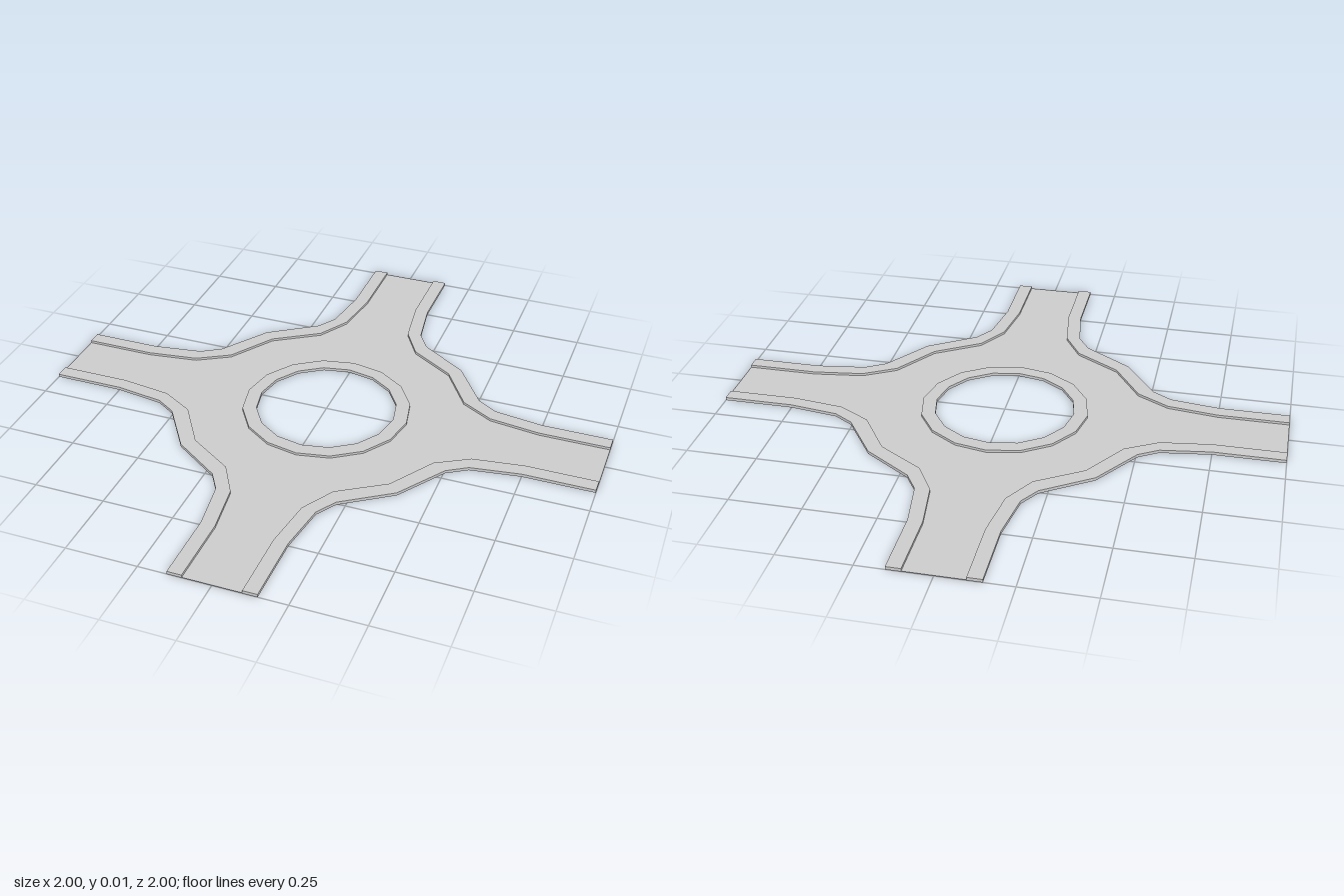
import * as THREE from 'three';

const ROAD_TOP = 0.002, KERB_TOP = 0.011;
const material = new THREE.MeshStandardMaterial({ color: 0xcccccc, flatShading: true });

// Half of one corner, from the arm end to the diagonal
const OUTER = [[1, 0.15], [0.75, 0.15], [0.575, 0.176], [0.505, 0.22], [0.39, 0.39]];
const INNER = [[1, 0.1], [0.75, 0.1], [0.57, 0.125], [0.455, 0.192], [0.352, 0.352]];

// Complete a corner by mirroring across its diagonal
function corner(half) {
  const mirrored = half.slice(0, -1).reverse().map(([x, y]) => [y, x]);
  return [...half, ...mirrored].map(([x, y]) => new THREE.Vector2(x, y));
}

function turn(points, quarter) {
  const origin = new THREE.Vector2();
  return points.map((p) => p.clone().rotateAround(origin, quarter * Math.PI / 2));
}

function circle(radius, sides = 16) {
  return Array.from({ length: sides }, (_, i) => {
    const a = i / sides * Math.PI * 2;
    return new THREE.Vector2(radius * Math.cos(a), radius * Math.sin(a));
  });
}

// Flat plate standing on the ground
function plate(name, outline, hole, height) {
  const shape = new THREE.Shape(outline);
  if (hole) shape.holes.push(new THREE.Path(hole));
  const geometry = new THREE.ExtrudeGeometry(shape, { depth: height, bevelEnabled: false });
  geometry.rotateX(-Math.PI / 2);
  const mesh = new THREE.Mesh(geometry, material);
  mesh.name = name;
  return mesh;
}

export function createModel() {
  const group = new THREE.Group();
  group.name = 'roundabout';
  const outer = corner(OUTER), inner = corner(INNER);

  // Road surface between the kerbs
  const roadOutline = [0, 1, 2, 3].flatMap((q) => turn(inner, q));
  group.add(plate('road', roadOutline, circle(0.3), ROAD_TOP));

  // Raised kerb along each corner
  const kerb = [...outer, ...inner.slice().reverse()];
  for (let q = 0; q < 4; q++) group.add(plate('cornerKerb' + (q + 1), turn(kerb, q), null, KERB_TOP));

  // Raised kerb around the open centre
  group.add(plate('centreKerb', circle(0.3), circle(0.25), KERB_TOP));
  return group;
}
